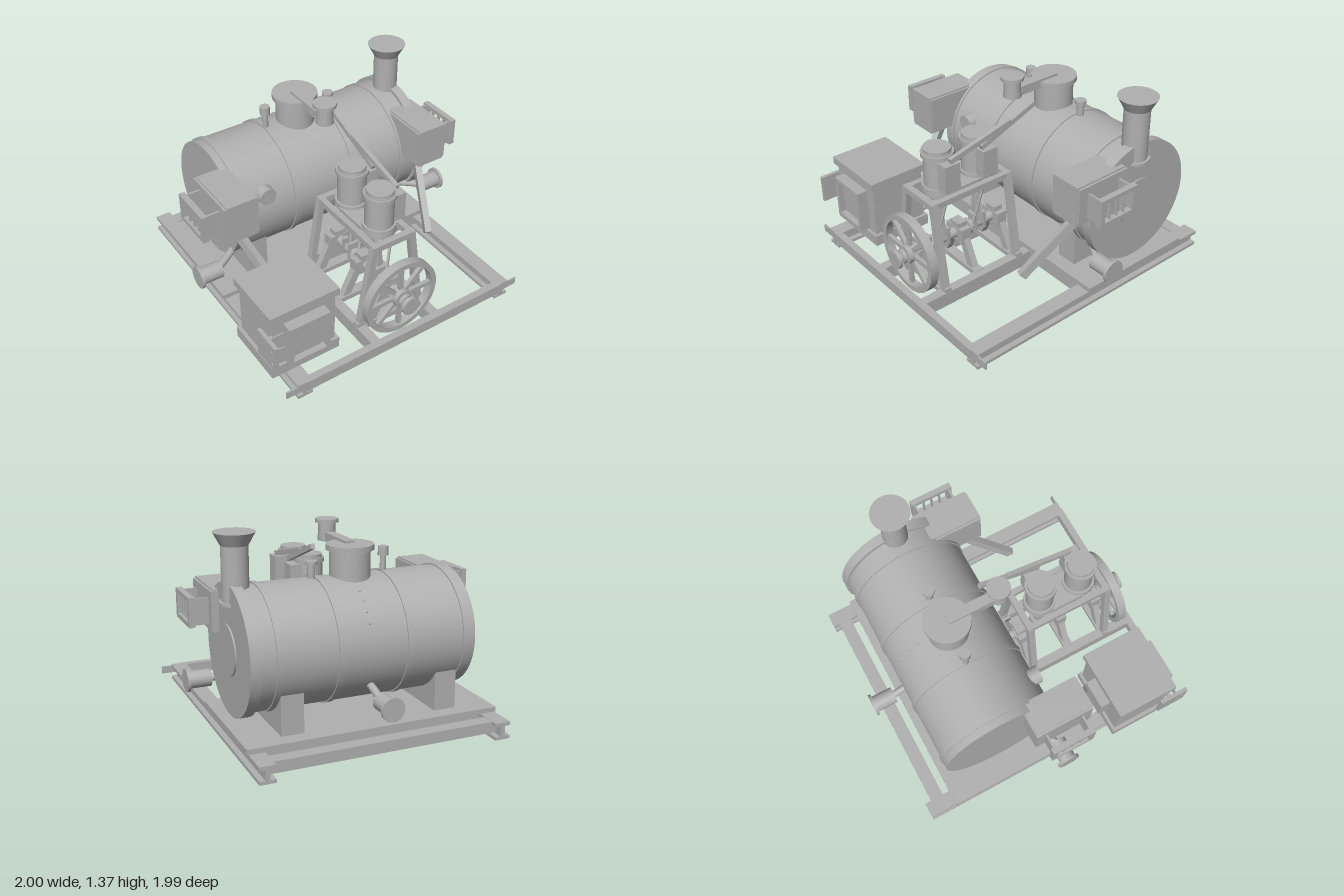
import * as THREE from 'three';

export function createModel() {
  const model = new THREE.Group();
  const grey = new THREE.MeshStandardMaterial({ color: 0xb0b0b0 });
  grey.name = 'plain grey';

  const add = (name, geo, x = 0, y = 0, z = 0) => {
    const m = new THREE.Mesh(geo, grey);
    m.name = name;
    m.position.set(x, y, z);
    model.add(m);
    return m;
  };
  // Box given by its lower and upper limits on each axis
  const box = (name, x0, x1, y0, y1, z0, z1) =>
    add(name, new THREE.BoxGeometry(x1 - x0, y1 - y0, z1 - z0), (x0 + x1) / 2, (y0 + y1) / 2, (z0 + z1) / 2);
  // Cylinder from a to b along one axis; u and v are the two other coordinates
  const cyl = (name, axis, r, a, b, u, v, r2 = r, seg = 40) => {
    const g = new THREE.CylinderGeometry(r2, r, b - a, seg);
    const c = (a + b) / 2;
    if (axis === 'y') return add(name, g, u, c, v);
    if (axis === 'x') return add(name, g.rotateZ(-Math.PI / 2), c, u, v);
    return add(name, g.rotateX(Math.PI / 2), u, v, c);
  };
  // Bar between two points, square or round
  const bar = (name, a, b, w, d, round = false) => {
    const p = new THREE.Vector3(...a), q = new THREE.Vector3(...b), len = p.distanceTo(q);
    const g = round ? new THREE.CylinderGeometry(w, w, len, 24) : new THREE.BoxGeometry(w, d, len);
    if (round) g.rotateX(Math.PI / 2);
    const m = add(name, g, (p.x + q.x) / 2, (p.y + q.y) / 2, (p.z + q.z) / 2);
    m.lookAt(q);
    return m;
  };
  // Rectangle outline with a rectangular hole, facing +z
  const frameGeo = (w, h, iw, ih, depth) => {
    const rect = (C, a, b) => new C([[-a, -b], [a, -b], [a, b], [-a, b]].map(p => new THREE.Vector2(p[0] / 2, p[1] / 2)));
    const s = rect(THREE.Shape, w, h);
    s.holes.push(rect(THREE.Path, iw, ih));
    return new THREE.ExtrudeGeometry(s, { depth, bevelEnabled: false });
  };

  // Base frame: I-section rails, cross beams and bed plate
  for (const s of [-1, 1]) {
    const x = s * 0.797;
    box('railTopFlange', x - 0.053, x + 0.053, 0.098, 0.122, -0.985, 0.985);
    box('railWeb', x - 0.015, x + 0.015, 0.025, 0.1, -0.985, 0.985);
    box('railBottomFlange', x - 0.053, x + 0.053, 0.008, 0.03, -0.985, 0.985);
    box('innerBeam', s * 0.237 - 0.033, s * 0.237 + 0.033, 0.02, 0.122, 0.05, 0.95);
  }
  box('frontBeam', -0.785, 0.785, 0.045, 0.122, 0.94, 0.99);
  box('frontStrip', -0.93, 0.925, 0.06, 0.112, 0.973, 0.985);
  box('rearBeam', -0.78, 0.78, 0.045, 0.12, -0.94, -0.85);
  for (const z of [-0.7, -0.33, 0.03]) box('crossBeam', -0.78, 0.78, 0.045, 0.125, z - 0.04, z + 0.04);
  box('bedPlate', -0.86, 0.86, 0.122, 0.155, -0.8, 0.07);
  cyl('drainPipe', 'y', 0.05, 0.015, 0.14, 0, 0);
  cyl('drainFlange', 'y', 0.08, 0, 0.022, 0, 0);

  // Boiler
  const by = 0.635, bz = -0.365;
  cyl('boilerShell', 'x', 0.4, -0.7, 0.78, by, bz, 0.4, 80);
  for (const x of [-0.63, -0.235, 0.23, 0.63]) cyl('boilerBand', 'x', 0.409, x - 0.018, x + 0.018, by, bz, 0.409, 80);
  cyl('smokeboxEnd', 'x', 0.424, 0.75, 0.82, by, bz, 0.424, 80);
  cyl('smokeboxDoor', 'x', 0.165, 0.81, 0.83, by, bz, 0.165, 48);
  for (const s of [-1, 1]) box('saddle', s * 0.53 - 0.075, s * 0.53 + 0.075, 0.15, 0.42, -0.7, -0.03);
  cyl('inspectionPort', 'z', 0.06, -0.1, 0.045, -0.465, 0.8);
  for (let i = 0; i < 4; i++) {
    const a = 0.55 + i * 0.19;
    add('rivet', new THREE.SphereGeometry(0.008, 10, 8), 0.032, by + 0.4 * Math.cos(a), bz - 0.4 * Math.sin(a));
  }

  // Chimney
  cyl('chimney', 'y', 0.085, 0.93, 1.295, 0.762, bz);
  cyl('chimneyFoot', 'y', 0.104, 0.925, 0.942, 0.762, bz);
  cyl('chimneyCap', 'y', 0.087, 1.29, 1.37, 0.762, bz, 0.131);

  // Steam dome, outlet arm and valves
  cyl('dome', 'y', 0.132, 0.95, 1.21, 0, bz, 0.132, 48);
  cyl('domeCap', 'y', 0.154, 1.2, 1.235, 0, bz, 0.154, 48);
  box('outletArm', -0.034, 0.034, 1.19, 1.252, bz, 0);
  cyl('outletPipe', 'y', 0.057, 1.225, 1.325, 0, 0);
  cyl('outletFlange', 'y', 0.077, 1.312, 1.336, 0, 0);
  cyl('outletPipeRim', 'y', 0.06, 1.19, 1.225, 0, 0, 0.06);
  cyl('safetyValveStem', 'y', 0.02, 1.02, 1.15, -0.235, bz);
  cyl('safetyValveCap', 'y', 0.034, 1.14, 1.2, -0.235, bz);
  cyl('fillerStem', 'y', 0.025, 1.02, 1.13, 0.265, bz);
  cyl('fillerCap', 'y', 0.038, 1.122, 1.145, 0.265, bz);

  // Flanged connection at the back
  bar('rearPipeStem', [0, 0.42, -0.6], [0, 0.34, -0.86], 0.025, 0, true);
  cyl('rearPipe', 'z', 0.058, -0.99, -0.835, 0, 0.34);
  cyl('rearPipeFlange', 'z', 0.078, -1, -0.98, 0, 0.34);

  // Parts mirrored on both sides
  for (const s of [-1, 1]) {
    const sb = (name, x0, x1, ...r) => s > 0 ? box(name, x0, x1, ...r) : box(name, -x1, -x0, ...r);
    const sc = (name, r, a, b, u, v) => s > 0 ? cyl(name, 'x', r, a, b, u, v) : cyl(name, 'x', r, -b, -a, u, v);
    // Flanged side pipe
    bar('sidePipeStem', [s * 0.55, 0.4, -0.16], [s * 0.85, 0.34, 0], 0.025, 0, true);
    sc('sidePipe', 0.058, 0.835, 0.99, 0.34, 0.005);
    sc('sidePipeFlange', 0.078, 0.98, 1, 0.34, 0.005);
    // Hopper with barred opening
    sb('hopper', 0.63, 0.868, 0.71, 0.968, -0.2, 0.205);
    sb('hopperRim', 0.645, 0.852, 0.7, 0.978, -0.192, 0.21);
    for (const z of [-0.13, 0.13]) sb('openingSide', 0.86, 0.97, 0.745, 0.92, z - 0.007, z + 0.007);
    const f = add('openingFrame', frameGeo(0.305, 0.195, 0.235, 0.135, 0.04), s * 0.96, 0.833, 0);
    f.rotation.y = s * Math.PI / 2;
    for (const z of [-0.06, 0, 0.06]) sb('openingBar', 0.965, 0.985, 0.76, 0.905, z - 0.006, z + 0.006);
    // Sloping chute
    bar('chute', [s * 0.75, 0.71, 0.03], [s * 0.59, 0.28, 0.42], 0.045, 0.06);
  }

  // Firebox on the right rail
  box('fireboxBody', -0.92, -0.475, 0.18, 0.58, 0.43, 0.825);
  box('fireboxTop', -0.945, -0.453, 0.565, 0.62, 0.41, 0.845);
  box('fireboxFoot', -0.945, -0.453, 0.122, 0.2, 0.41, 0.845);
  box('fireboxOutlet', -0.8, -0.6, 0.3, 0.48, 0.36, 0.44);
  add('fireDoorFrame', frameGeo(0.29, 0.305, 0.235, 0.25, 0.08), -0.7, 0.367, 0.82);
  box('fireDoorPanel', -0.8, -0.6, 0.258, 0.477, 0.82, 0.87);
  box('openDoor', -0.978, -0.952, 0.285, 0.478, 0.74, 0.945);
  for (const y of [0.32, 0.44]) box('doorHinge', -0.965, -0.84, y - 0.012, y + 0.012, 0.81, 0.835);
  for (const y of [0.33, 0.43]) cyl('doorStud', 'x', 0.01, -0.985, -0.97, y, 0.91);

  // Engine stand
  for (const s of [-1, 1]) {
    for (const z of [0.165, 0.762]) {
      bar('standLeg', [s * 0.235, 0.12, z], [s * 0.14, 0.74, z], 0.045, 0.045).rotateZ(0);
      box('standFoot', s * 0.235 - 0.033, s * 0.235 + 0.033, 0.12, 0.15, z - 0.024, z + 0.024);
    }
    box('standRail', s * 0.14 - 0.02, s * 0.14 + 0.02, 0.7, 0.742, 0.142, 0.785);
  }
  for (const z of [0.165, 0.762]) box('standCrossbar', -0.15, 0.15, 0.7, 0.742, z - 0.022, z + 0.022);
  const deck = new THREE.Shape();
  deck.absarc(0, 0.615, 0.112, 0, Math.PI);
  deck.absarc(0, 0.315, 0.112, Math.PI, Math.PI * 2);
  add('cylinderDeck', new THREE.ExtrudeGeometry(deck, { depth: 0.035, bevelEnabled: false, curveSegments: 24 }), 0, 0.755, 0).rotation.x = Math.PI / 2;
  for (const z of [0.315, 0.615]) box('deckBearer', -0.14, 0.14, 0.7, 0.738, z - 0.03, z + 0.03);

  // Steam cylinders, valve chests and piston rods
  for (const z of [0.315, 0.615]) {
    cyl('steamCylinder', 'y', 0.095, 0.74, 1.02, 0, z);
    cyl('cylinderLowerFlange', 'y', 0.11, 0.752, 0.778, 0, z);
    cyl('cylinderUpperFlange', 'y', 0.108, 0.985, 1.012, 0, z);
    cyl('cylinderCover', 'y', 0.09, 1.01, 1.04, 0, z);
    box('valveChest', 0.08, 0.16, 0.78, 0.975, z - 0.058, z + 0.058);
    cyl('pistonRod', 'y', 0.017, 0.36, 0.74, 0, z);
    cyl('crosshead', 'y', 0.03, 0.575, 0.64, 0, z);
    bar('connectingRod', [0.03, 0.36, z], [0, 0.6, z], 0.03, 0.03);
    for (const d of [-0.035, 0.035]) box('crankWeb', -0.04, 0.04, 0.29, 0.42, z + d - 0.011, z + d + 0.011);
    cyl('eccentric', 'z', 0.055, z + 0.07, z + 0.095, 0, 0.337);
    bar('valveRod', [0.03, 0.36, z + 0.06], [0.125, 0.8, z], 0.016, 0.016);
  }
  bar('steamPipeRear', [0.13, 1.17, -0.07], [0.13, 1.0, 0.37], 0.03, 0.035);
  bar('steamPipeFront', [0.13, 1.105, 0.13], [0.13, 0.99, 0.615], 0.03, 0.035);

  // Crankshaft, bearings and flywheel
  cyl('crankshaft', 'z', 0.036, 0.08, 0.985, 0, 0.337);
  for (const z of [0.13, 0.17, 0.7, 0.82, 0.93]) cyl('shaftCollar', 'z', 0.05, z - 0.012, z + 0.012, 0, 0.337);
  cyl('shaftEnd', 'z', 0.065, 0.965, 0.99, 0, 0.337);
  for (const z of [0.165, 0.47, 0.755]) {
    box('bearing', -0.085, 0.085, 0.275, 0.385, z - 0.038, z + 0.038);
    box('bearingCap', -0.045, 0.045, 0.38, 0.42, z - 0.035, z + 0.035);
    for (const s of [-1, 1]) bar('bearingLeg', [s * 0.15, 0.12, z], [s * 0.065, 0.3, z], 0.045, 0.06);
    box('bearingSill', -0.22, 0.22, 0.09, 0.125, z - 0.035, z + 0.035);
  }
  const rim = new THREE.Shape().absarc(0, 0, 0.273, 0, Math.PI * 2);
  rim.holes.push(new THREE.Path().absarc(0, 0, 0.237, 0, Math.PI * 2));
  add('flywheelRim', new THREE.ExtrudeGeometry(rim, { depth: 0.06, bevelEnabled: false, curveSegments: 32 }), 0, 0.337, 0.835);
  cyl('flywheelHub', 'z', 0.064, 0.825, 0.91, 0, 0.337);
  for (let i = 0; i < 4; i++) {
    add('flywheelSpokes', new THREE.BoxGeometry(0.48, 0.03, 0.026), 0, 0.337, 0.865).rotation.z = i * Math.PI / 4;
  }
  return model;
}
